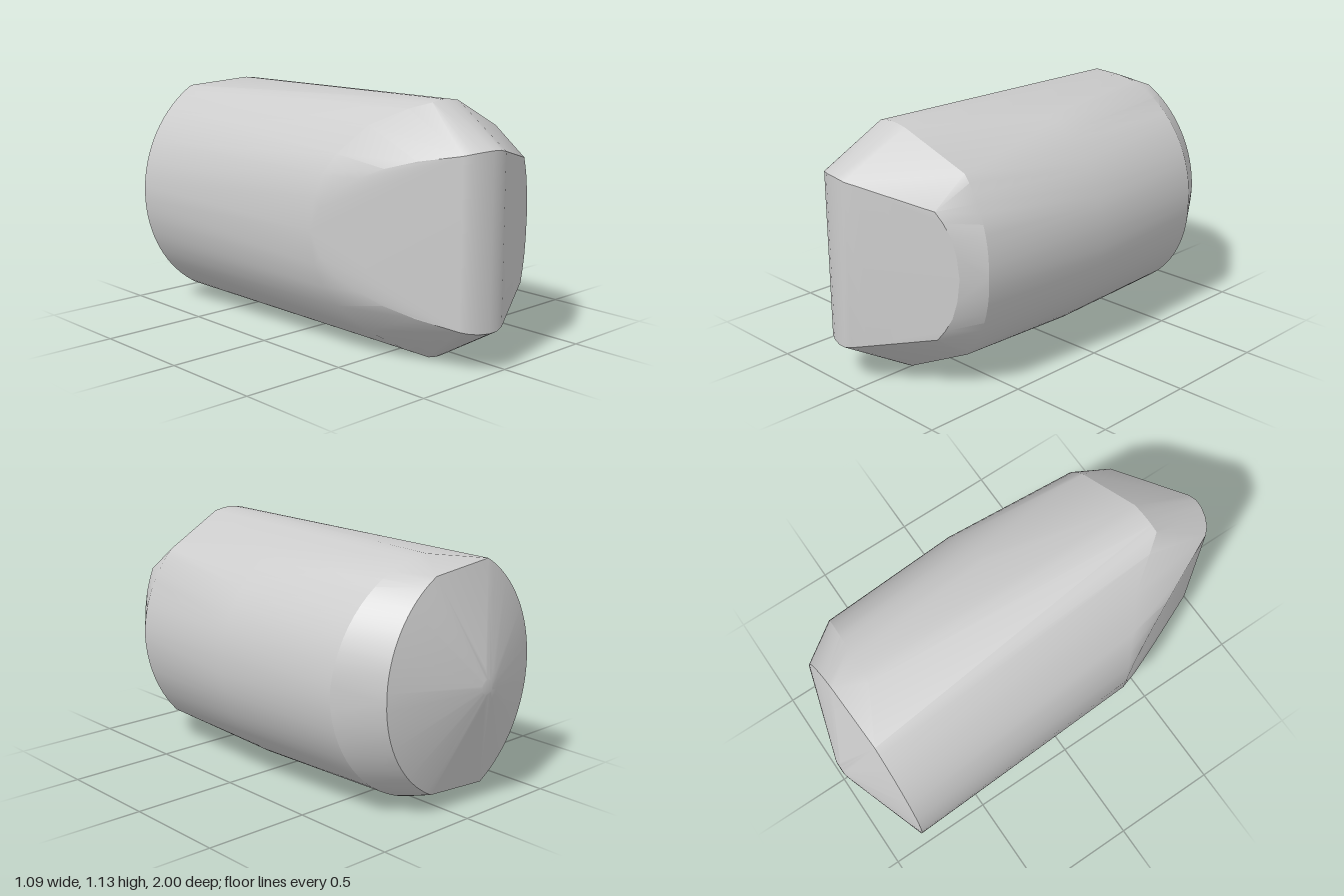
import * as THREE from 'three';
import { ConvexGeometry } from 'three/addons/geometries/ConvexGeometry.js';
import { toCreasedNormals } from 'three/addons/utils/BufferGeometryUtils.js';

const CY = 0.567; // height of the mirror plane

export function createModel() {
  const group = new THREE.Group();
  const points = [];

  // One point and its mirror image above and below the middle plane
  const pair = (x, dy, z) => {
    points.push(new THREE.Vector3(x, CY + dy, z));
    if (dy > 0) points.push(new THREE.Vector3(x, CY - dy, z));
  };

  // Upper half of a side arc about (cx, 0), from its outermost point to angle a1;
  // depth runs from z0 to z1
  const arc = (cx, r, a1, z0, z1, side, n = 12) => {
    for (let i = 0; i <= n; i++) {
      const t = i / n, a = a1 * t;
      pair(cx + side * r * Math.cos(a), r * Math.sin(a), z0 + (z1 - z0) * t);
    }
  };

  // Rear rim: two arcs with straight edges between their ends
  arc(0.038, 0.588, 1.05, -0.85, -0.85, -1, 16);
  arc(-0.172, 0.542, 1.088, -0.87, -0.86, 1, 16);

  // Small rounded rear tip
  for (const [r, z] of [[0.035, -1], [0.08, -0.986]])
    for (let i = 0; i <= 10; i++) {
      const a = (i / 10) * Math.PI;
      pair(-0.1 + r * Math.cos(a), r * Math.sin(a), z);
    }

  // Bulging side of the body: rear, middle and front arcs
  arc(-0.045, 0.545, 1.5, -0.67, -0.72, 1, 16);
  arc(0, 0.54, 1.2, 0, 0, 1, 16);
  arc(-0.116, 0.606, 0.743, 0.66, 0.64, 1, 10);

  // Straight side of the body, its front cut on a slant
  for (const [x, dy, z] of [[-0.5, 0, 0.32], [-0.485, 0.15, 0.33], [-0.455, 0.25, 0.35],
    [-0.41, 0.335, 0.39], [-0.3, 0.455, 0.47], [-0.2, 0.53, 0.61]]) pair(x, dy, z);

  // Crest at the front of the body
  for (const [x, dy] of [[-0.14, 0.558], [-0.1, 0.565], [-0.07, 0.567], [-0.03, 0.564], [0.02, 0.555]])
    pair(x, dy, 0.69);

  // Curved borders of the two flat nose faces
  for (const [x, dy] of [[-0.48, 0.11], [-0.45, 0.19], [-0.41, 0.245], [-0.36, 0.295], [-0.3, 0.335]])
    pair(x, dy, 0.32 + (x + 0.5) * 2.19);
  for (const [x, dy] of [[0.42, 0], [0.41, 0.1], [0.39, 0.18], [0.36, 0.24], [0.33, 0.285]])
    pair(x, dy, 0.96 - (x - 0.04) * 0.526);

  // Rounded upright nose edge
  for (const [x, dy, z] of [[-0.22, 0.37, 0.935], [-0.19, 0.378, 0.963], [-0.15, 0.384, 0.983],
    [-0.1, 0.387, 0.997], [-0.06, 0.385, 1], [-0.02, 0.375, 0.993], [0.04, 0.355, 0.962]]) pair(x, dy, z);

  const body = new THREE.Mesh(
    toCreasedNormals(new ConvexGeometry(points), 0.42),
    new THREE.MeshStandardMaterial({ color: 0xcccccc })
  );
  body.name = 'body';
  group.add(body);
  return group;
}
